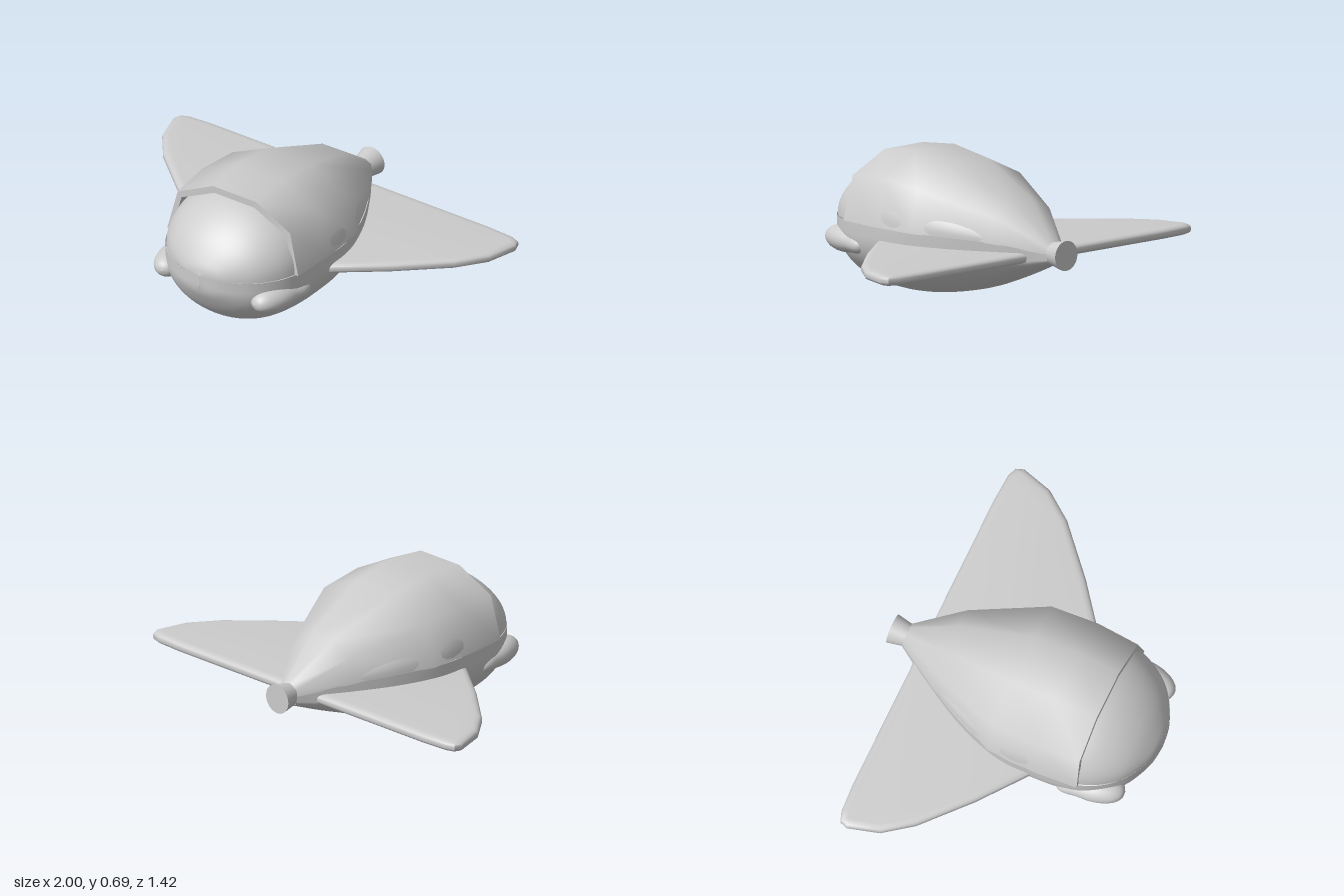
import * as THREE from 'three';
import { toCreasedNormals } from 'three/addons/utils/BufferGeometryUtils.js';

// Skin a list of rings that run front to back; each ring is counter-clockwise seen from +z.
function loft(rings) {
  const n = rings[0].length, index = [];
  for (let i = 0; i < rings.length - 1; i++) {
    for (let j = 0; j < n - 1; j++) {
      const a = i * n + j, b = a + 1, c = a + n, d = c + 1;
      index.push(a, c, b, b, c, d);
    }
  }
  const geometry = new THREE.BufferGeometry();
  geometry.setAttribute('position', new THREE.Float32BufferAttribute(rings.flat(2), 3));
  geometry.setIndex(index);
  geometry.computeVertexNormals();
  return geometry;
}

// Body profile, nose to tail: z, half width, bottom y, shoulder y, top y
const PROFILE = [
  [0.71, 0, 0.30, 0.355, 0.36],
  [0.69, 0.115, 0.235, 0.355, 0.415],
  [0.62, 0.245, 0.125, 0.355, 0.51],
  [0.52, 0.33, 0.05, 0.355, 0.59],
  [0.40, 0.375, 0.014, 0.355, 0.64],
  [0.22, 0.392, 0, 0.355, 0.66],
  [0.02, 0.388, 0.02, 0.355, 0.62],
  [-0.20, 0.315, 0.07, 0.352, 0.53],
  [-0.42, 0.195, 0.15, 0.335, 0.43],
  [-0.58, 0.09, 0.218, 0.305, 0.35],
  [-0.635, 0.055, 0.24, 0.295, 0.33],
];

// Smoothly sample the profile rows
function sections(steps) {
  const column = (k) => new THREE.CatmullRomCurve3(
    PROFILE.map((r) => new THREE.Vector3(r[k], r[k + 1] ?? 0, 0)), false, 'catmullrom', 0.5);
  const first = column(0), second = column(2), third = column(4);
  return Array.from({ length: steps + 1 }, (_, i) => {
    const t = i / steps, p = first.getPoint(t), q = second.getPoint(t);
    return { z: p.x, w: Math.max(p.y, 0), b: q.x, s: q.y, t: third.getPoint(t).x };
  });
}

// Half ellipse between two angles
function arc(cx, cy, rx, ry, z, from, to, n = 28) {
  return Array.from({ length: n + 1 }, (_, i) => {
    const a = from + (to - from) * i / n;
    return [cx + rx * Math.cos(a), cy + ry * Math.sin(a), z];
  });
}

export function createModel() {
  const group = new THREE.Group();
  const material = new THREE.MeshStandardMaterial({ color: 0xcccccc, side: THREE.DoubleSide });
  const add = (name, geometry) => {
    const mesh = new THREE.Mesh(geometry, material);
    mesh.name = name;
    group.add(mesh);
    return mesh;
  };
  const rows = sections(50);

  // Lower hull: rounded belly with a short upright band below the shoulder
  add('lowerHull', loft(rows.map(({ z, w, b, s }) => {
    const c = s - Math.min(0.055, (s - b) / 2);
    return [[-w, s, z], ...arc(0, c, w, c - b, z, Math.PI, 2 * Math.PI), [w, s, z]];
  })));

  // Canopy dome, continuing back beneath the upper shell
  add('canopy', loft(rows.map(({ z, w, s, t }) =>
    arc(0, s, w * 0.985, t - s, z, 0, Math.PI))));

  // Faceted upper shell: z, half width, base y, top y; the first ring is the inner rim
  const facets = [[1, 0], [0.86, 0.68], [0.33, 1], [-0.33, 1], [-0.86, 0.68], [-1, 0]];
  const shell = [
    [0.42, 0.355, 0.355, 0.635],
    [0.42, 0.382, 0.355, 0.67],
    [0.21, 0.396, 0.355, 0.69],
    [-0.03, 0.387, 0.355, 0.655],
    [-0.40, 0.21, 0.335, 0.515],
    [-0.63, 0.058, 0.295, 0.345],
  ].map(([z, w, base, top]) => facets.map(([u, v]) =>
    [u * w, base + v * (top - base), z + (z === 0.42 ? 0.014 * (1 - v) : 0)]));
  add('upperShell', toCreasedNormals(loft(shell), 1.0));

  // Wings: one thin rounded plate running through the body
  const half = [[0.36, 0.215], [0.62, 0.015], [0.85, -0.19], [0.955, -0.33],
    [1, -0.485], [0.985, -0.525], [0.935, -0.542], [0.8, -0.55]];
  const outline = [...half, ...half.map(([x, z]) => [-x, z]).reverse()]
    .map(([x, z]) => new THREE.Vector2(x, -z));
  const wings = new THREE.ExtrudeGeometry(new THREE.Shape(outline), {
    depth: 0.014, bevelEnabled: true, bevelThickness: 0.019, bevelSize: 0.035,
    bevelOffset: -0.035, bevelSegments: 4,
  });
  wings.rotateX(-Math.PI / 2).translate(0, 0.263, 0);
  add('wings', toCreasedNormals(wings, 0.7));

  // Side pods: a fat front lobe easing into a slimmer tail
  const podProfile = new THREE.SplineCurve([[0, -0.168], [0.028, -0.157], [0.044, -0.12],
    [0.05, -0.06], [0.06, 0], [0.062, 0.06], [0.052, 0.12], [0.03, 0.158], [0, 0.17]]
    .map(([r, y]) => new THREE.Vector2(r, y))).getPoints(28);
  podProfile.forEach((p) => { p.x = Math.max(p.x, 0); });
  for (const side of [1, -1]) {
    const pod = new THREE.LatheGeometry(podProfile, 24);
    pod.rotateX(Math.PI / 2).scale(1.2, 1, 1);
    pod.rotateX(-0.04).rotateY(-0.25 * side).translate(0.31 * side, 0.245, 0.472);
    add(side > 0 ? 'leftPod' : 'rightPod', pod);
  }

  // Flared tail nozzle
  const nozzle = new THREE.CylinderGeometry(0.055, 0.073, 0.09, 24);
  nozzle.rotateX(Math.PI / 2).translate(0, 0.292, -0.665);
  add('tailNozzle', nozzle);

  return group;
}
